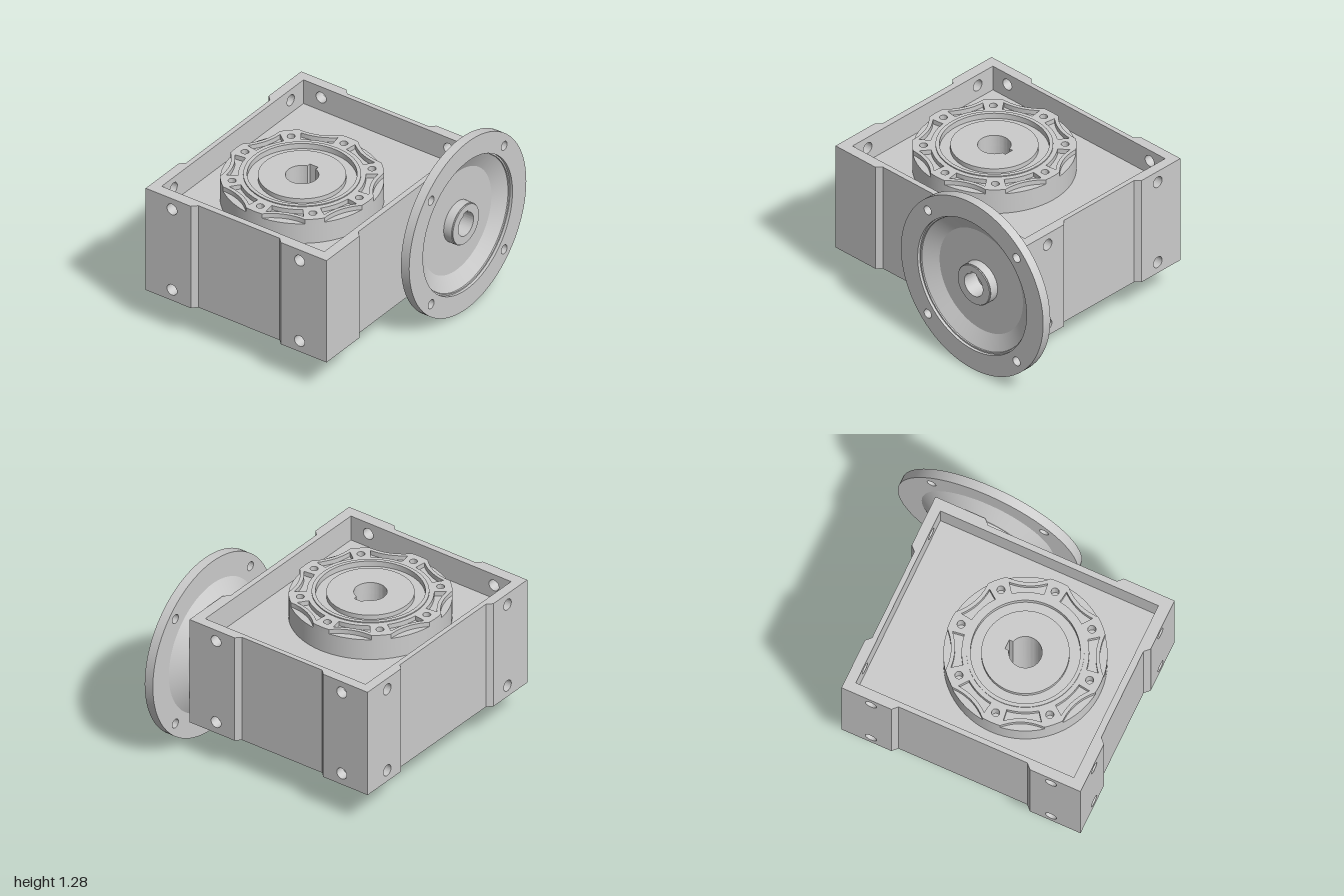
import * as THREE from 'three';
import { toCreasedNormals } from 'three/addons/utils/BufferGeometryUtils.js';

const TOP = 1.033, BOTTOM = 0.247, MID = 0.64, FLOOR = 0.85;
const material = new THREE.MeshStandardMaterial({ color: 0xcccccc });

function add(parent, name, geometry) {
  const mesh = new THREE.Mesh(toCreasedNormals(geometry, 0.45), material);
  mesh.name = name;
  parent.add(mesh);
}

const extrude = (shape, depth) =>
  new THREE.ExtrudeGeometry(shape, { depth, bevelEnabled: false, curveSegments: 40 });

// Plan shape (x, z) extruded between two heights
const prism = (shape, y0, y1) => extrude(shape, y1 - y0).rotateX(Math.PI / 2).translate(0, y1, 0);

// Shape (-z, y) extruded along x
const sideways = (shape, x0, x1) => extrude(shape, x1 - x0).rotateY(Math.PI / 2).translate(x0, 0, 0);

const polygon = (pts) => new THREE.Shape(pts.map(([x, y]) => new THREE.Vector2(x, y)));
const circle = (r, x = 0, y = 0) => new THREE.Shape().absarc(x, y, r, 0, Math.PI * 2, false);
const polar = (r, a) => [r * Math.cos(a), r * Math.sin(a)];

function withHoles(shape, ...holes) {
  shape.holes.push(...holes);
  return shape;
}

// Evenly spaced round holes on a bolt circle
const boltHoles = (count, r, radius, start = 0) => Array.from({ length: count },
  (_, i) => circle(r, ...polar(radius, start + i * Math.PI * 2 / count)));

// Round bore with a rectangular keyway on one side
function keyedBore(r, width, reach, dir) {
  const t = dir * Math.PI / 2, d = Math.asin(width / 2 / r), w = dir * width / 2;
  const p = new THREE.Path();
  p.absarc(0, 0, r, t + d, t + Math.PI * 2 - d, false);
  p.lineTo(w, dir * reach);
  p.lineTo(-w, dir * reach);
  p.closePath();
  return p;
}

// Wall along local x facing +z: two corner pads joined by a recessed middle
function makeWall(name, u0, m0, m1, u1, thick, holes) {
  const wall = new THREE.Group();
  wall.name = name;
  for (const [a, b] of [[u0, m0], [m1, u1]]) {
    const pad = polygon([[a, BOTTOM], [b, BOTTOM], [b, TOP], [a, TOP]]);
    for (const u of holes) {
      if (u > a && u < b) pad.holes.push(circle(0.04, u, 0.33), circle(0.04, u, 0.95));
    }
    add(wall, 'cornerPad', extrude(pad, thick));
  }
  const inset = thick - 0.035;
  add(wall, 'recessedPanel', prism(polygon([
    [m0, 0], [m1, 0], [m1, thick], [m1 - 0.035, inset], [m0 + 0.035, inset], [m0, thick],
  ]), BOTTOM, TOP));
  return wall;
}

function makeHousing() {
  const housing = new THREE.Group();
  housing.name = 'housing';
  const front = makeWall('frontWall', -0.79, -0.43, 0.29, 0.655, 0.08, [-0.58, 0.44]);
  front.position.z = 0.92;
  const back = makeWall('backWall', -0.655, -0.29, 0.43, 0.79, 0.07, [-0.44, 0.58]);
  back.rotation.y = Math.PI;
  back.position.z = -0.63;
  const right = makeWall('rightWall', -0.63, -0.345, 0.64, 0.92, 0.07, [-0.49, 0.79]);
  right.rotation.y = -Math.PI / 2;
  right.position.x = -0.72;
  const left = makeWall('leftWall', -0.92, -0.64, 0.345, 0.63, 0.075, []);
  left.rotation.y = Math.PI / 2;
  left.position.x = 0.58;
  housing.add(front, back, right, left);

  // Web between the two open cavities, open where the round boss passes through
  const web = withHoles(polygon([[-0.72, -0.63], [0.58, -0.63], [0.58, 0.92], [-0.72, 0.92]]),
    circle(0.52, -0.07, 0.275));
  add(housing, 'centreWeb', prism(web, 2 * MID - FLOOR, FLOOR));
  return housing;
}

// Scalloped ring with eight bolt holes and eight pockets
function boltRingShape() {
  const step = Math.PI / 4, tip = 0.12, half = 0.255;
  const ring = new THREE.Shape();
  const holes = [circle(0.38), ...boltHoles(8, 0.026, 0.457)];
  for (let k = 0; k < 8; k++) {
    const a = k * step, m = a + step / 2;
    ring.absarc(0, 0, 0.53, a - tip, a + tip, false);
    ring.quadraticCurveTo(...polar(0.451, m), ...polar(0.53, a + step - tip));
    const pocket = new THREE.Path();
    pocket.absarc(0, 0, 0.412, m - half, m + half, false);
    pocket.lineTo(...polar(0.492, m + half));
    pocket.quadraticCurveTo(...polar(0.435, m), ...polar(0.492, m - half));
    pocket.closePath();
    holes.push(pocket);
  }
  return withHoles(ring, ...holes);
}

function makeOutputBoss() {
  const boss = new THREE.Group();
  boss.name = 'outputBoss';
  boss.position.set(-0.07, 0, 0.275);
  const bore = keyedBore(0.108, 0.066, 0.13, -1);
  const base = 1.0, drilled = 0.95;
  add(boss, 'bossSkin', prism(withHoles(circle(0.53), circle(0.525)), 2 * MID - base, base));
  add(boss, 'bossCore', prism(withHoles(circle(0.525), bore), 2 * MID - drilled, drilled));

  // Concentric layers repeated on the upper and lower faces, with a groove around the hub
  const layers = [
    ['drilledLayer', withHoles(circle(0.525), bore, ...boltHoles(8, 0.026, 0.457)), drilled, base],
    ['boltRing', boltRingShape(), base, TOP],
    ['raisedRing', withHoles(circle(0.38), circle(0.355)), base, 1.04],
    ['outputHub', withHoles(circle(0.285), bore), base, TOP],
  ];
  for (const [name, shape, y0, y1] of layers) {
    add(boss, name + 'Top', prism(shape, y0, y1));
    add(boss, name + 'Bottom', prism(shape, 2 * MID - y1, 2 * MID - y0));
  }
  return boss;
}

function makeInputFlange() {
  const flange = new THREE.Group();
  flange.name = 'inputFlange';
  flange.position.set(0, MID, -0.36);

  // Flat rim with four bolt holes
  const rim = withHoles(circle(0.64), circle(0.49), ...boltHoles(4, 0.032, 0.565, Math.PI / 4));
  add(flange, 'flangeRim', sideways(rim, 0.724, 0.79));

  // Conical bell: outer cone, then the shallow dished inside
  const bell = [
    [0.34, 0.61], [0.34, 0.655], [0.36, 0.655], [0.47, 0.724], [0.49, 0.724], [0.49, 0.77],
    [0.48, 0.77], [0.478, 0.762], [0.375, 0.705], [0.09, 0.705], [0.09, 0.66], [0, 0.66],
  ].map(([r, x]) => new THREE.Vector2(r, x));
  add(flange, 'flangeBell', new THREE.LatheGeometry(bell, 80).rotateZ(-Math.PI / 2));

  // Hollow input shaft with keyway
  const bore = keyedBore(0.083, 0.045, 0.095, 1);
  add(flange, 'inputShaft', sideways(withHoles(circle(0.147), bore), 0.65, 0.768));
  add(flange, 'inputShaftTip', sideways(withHoles(circle(0.142), bore), 0.768, 0.776));
  return flange;
}

export function createModel() {
  const model = new THREE.Group();
  model.name = 'wormGearbox';
  model.add(makeHousing(), makeOutputBoss(), makeInputFlange());
  return model;
}
